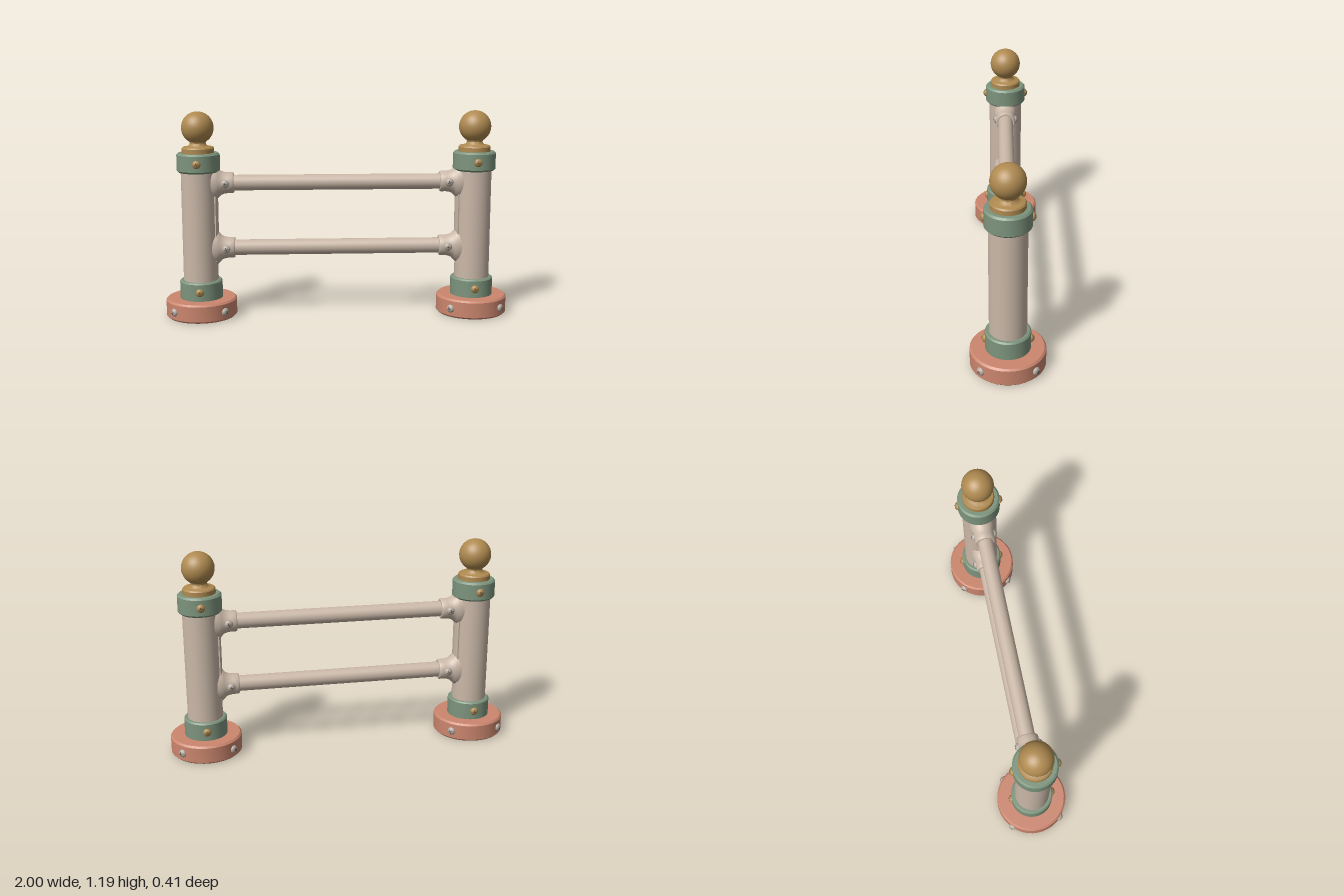
import * as THREE from 'three';
import { toCreasedNormals } from 'three/addons/utils/BufferGeometryUtils.js';

const mat = (name, color) => new THREE.MeshStandardMaterial({ name, color });
const POST_X = 0.795;
const RAIL_HEIGHTS = [0.4, 0.78];

export function createModel() {
  const stone = mat('warm beige', 0xcab8a8);
  const clay = mat('terracotta', 0xcb866e);
  const green = mat('sage green', 0x7d947d);
  const brass = mat('brass', 0xaf8a50);
  const steel = mat('pale steel', 0xb5aca2);
  const dark = mat('dark slot', 0x5e5348);

  const add = (parent, name, geometry, material) => {
    const mesh = new THREE.Mesh(geometry, material);
    mesh.name = name;
    parent.add(mesh);
    return mesh;
  };
  const lathe = (pts, segments = 40) => toCreasedNormals(
    new THREE.LatheGeometry(pts.map(([r, y]) => new THREE.Vector2(r, y)), segments), 0.6);
  // Closed disc with bevelled rims
  const drum = (r, y0, y1, b) => lathe([
    [0, y0], [r - b, y0], [r, y0 + b], [r, y1 - b], [r - b, y1], [0, y1]]);

  // Domed screw with a cross slot, facing outward at an angle around y
  function screw(parent, name, x, y, z, angle, material, r = 0.024) {
    const g = new THREE.Group();
    g.name = name;
    const dome = new THREE.SphereGeometry(r, 16, 6, 0, Math.PI * 2, 0, Math.PI / 2);
    dome.rotateX(Math.PI / 2).scale(1, 1, 0.75);
    add(g, 'screwHead', dome, material);
    for (const turn of [0, Math.PI / 2]) {
      const slot = add(g, 'screwSlot', new THREE.BoxGeometry(r * 0.9, 0.004, 0.004), dark);
      slot.position.z = r * 0.75 - 0.002;
      slot.rotation.z = turn + 0.3;
    }
    g.position.set(x, y, z);
    g.rotation.y = angle;
    parent.add(g);
  }

  // Rail socket that flares tall, but stays narrow, where it meets the post
  function socketGeometry() {
    const geo = new THREE.LatheGeometry([
      [0.1, 0.07], [0.098, 0.1], [0.086, 0.112], [0.071, 0.126], [0.063, 0.145],
      [0.06, 0.165], [0.06, 0.195], [0.055, 0.201], [0, 0.201],
    ].map(([r, y]) => new THREE.Vector2(r, y)), 32);
    const p = geo.attributes.position;
    for (let i = 0; i < p.count; i++) {
      const r = Math.hypot(p.getX(i), p.getZ(i));
      if (r > 0.06) p.setZ(i, p.getZ(i) * (0.06 + (r - 0.06) * 0.3) / r);
    }
    geo.rotateZ(Math.PI / 2);
    return toCreasedNormals(geo, 0.7);
  }

  // One bollard, with its rail sockets on the -x side
  function bollard(name) {
    const g = new THREE.Group();
    g.name = name;
    add(g, 'base', drum(0.205, 0, 0.108, 0.01), clay);
    add(g, 'shaft', new THREE.CylinderGeometry(0.101, 0.101, 0.8, 40), stone).position.y = 0.5;
    add(g, 'lowerCollar', drum(0.123, 0.1, 0.214, 0.008), green);
    add(g, 'upperCollar', drum(0.123, 0.845, 0.955, 0.01), green);

    // Finial foot, waist and ball
    add(g, 'finialFoot', lathe([
      [0, 0.95], [0.092, 0.95], [0.092, 0.98], [0.086, 0.988], [0.062, 0.99],
      [0.05, 0.998], [0.045, 1.01], [0.048, 1.022], [0, 1.03]]), brass);
    add(g, 'finialBall', new THREE.SphereGeometry(0.092, 32, 20), brass).position.y = 1.097;

    // Backing strip joining the two sockets
    const strip = new THREE.Shape();
    strip.absarc(0, 0, 0.108, Math.PI - 0.48, Math.PI + 0.48, false);
    strip.lineTo(-0.08, -0.045);
    strip.lineTo(-0.08, 0.045);
    const stripGeo = new THREE.ExtrudeGeometry(strip,
      { depth: 0.52, bevelEnabled: false, curveSegments: 10 });
    stripGeo.rotateX(-Math.PI / 2);
    add(g, 'socketStrip', toCreasedNormals(stripGeo, 0.6), stone).position.y = 0.325;

    for (const y of RAIL_HEIGHTS) {
      add(g, 'railSocket', socketGeometry(), stone).position.y = y;
      screw(g, 'socketScrewFront', -0.152, y, 0.058, 0, steel);
      screw(g, 'socketScrewBack', -0.152, y, -0.058, Math.PI, steel);
    }
    for (const y of [0.16, 0.9]) {
      screw(g, 'collarScrewFront', 0, y, 0.121, 0, brass);
      screw(g, 'collarScrewBack', 0, y, -0.121, Math.PI, brass);
    }
    for (let i = 0; i < 4; i++) {
      const a = Math.PI / 4 + i * Math.PI / 2;
      screw(g, 'baseScrew', Math.sin(a) * 0.203, 0.053, Math.cos(a) * 0.203, a, steel);
    }
    return g;
  }

  const model = new THREE.Group();
  model.name = 'bollardFence';
  const left = bollard('leftBollard');
  left.position.x = POST_X;
  const right = bollard('rightBollard');
  right.position.x = -POST_X;
  right.rotation.y = Math.PI;
  model.add(left, right);

  // Horizontal rails
  for (const y of RAIL_HEIGHTS) {
    const rail = add(model, 'rail', new THREE.CylinderGeometry(0.045, 0.045, 1.24, 28), stone);
    rail.rotation.z = Math.PI / 2;
    rail.position.y = y;
  }
  return model;
}
